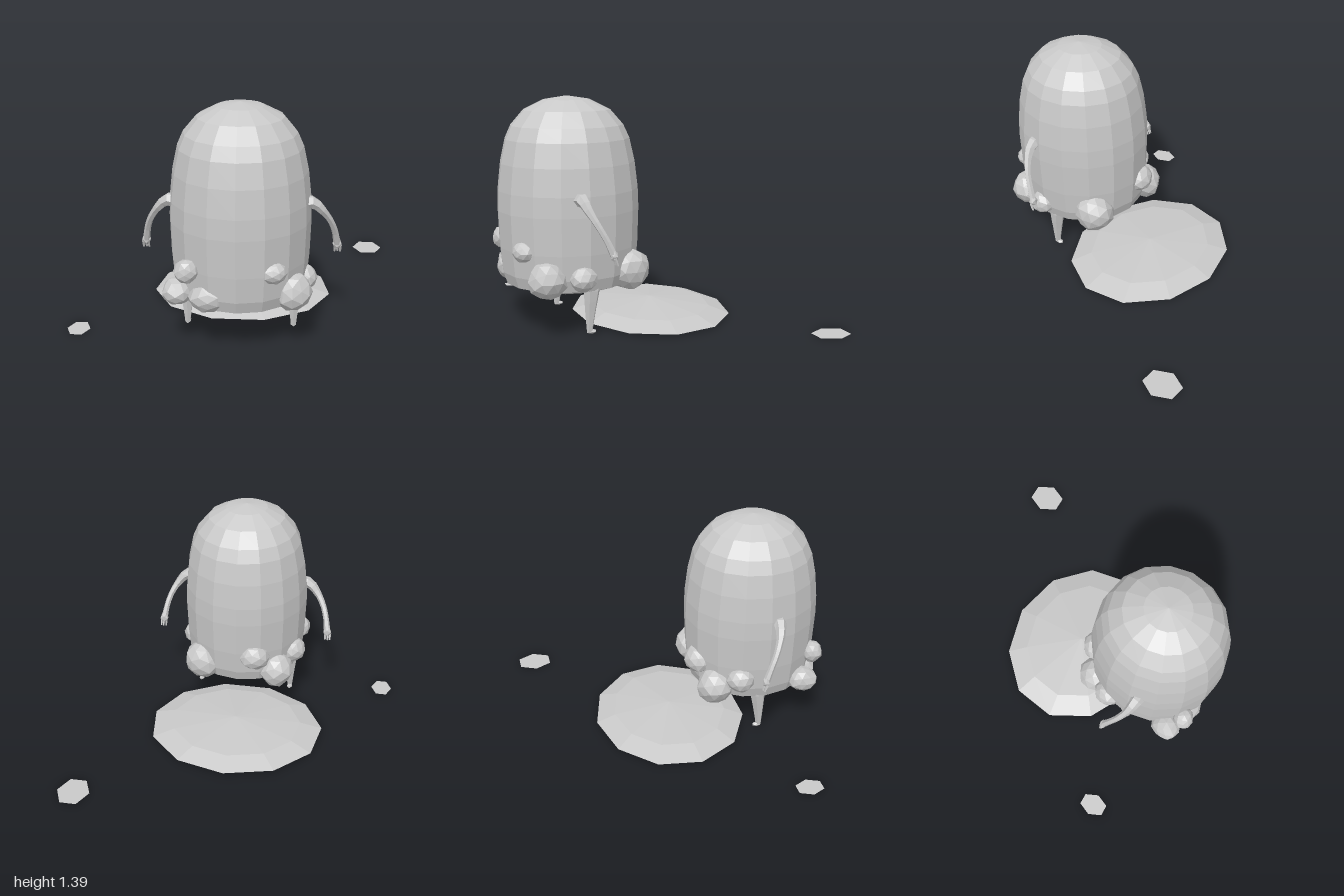
import * as THREE from 'three';
import { mergeVertices } from 'three/addons/utils/BufferGeometryUtils.js';

const CX = 0.04, CZ = 0.51; // body axis

export function createModel() {
  const group = new THREE.Group();
  const grey = new THREE.MeshStandardMaterial({ color: 0xc8c8c8, flatShading: true });
  grey.name = 'stone grey';
  const greySheet = grey.clone();
  greySheet.side = THREE.DoubleSide;

  const add = (name, geometry, parent = group, material = grey) => {
    const mesh = new THREE.Mesh(geometry, material);
    mesh.name = name;
    parent.add(mesh);
    return mesh;
  };
  const lathe = (profile, sides, start = 0) =>
    new THREE.LatheGeometry(profile.map(([r, y]) => new THREE.Vector2(r, y)), sides, start);

  // Domed body
  const body = add('body', lathe([
    [0, 0.24], [0.27, 0.245], [0.37, 0.28], [0.392, 0.35], [0.405, 0.5], [0.412, 0.72],
    [0.408, 0.84], [0.39, 1.0], [0.36, 1.14], [0.325, 1.22], [0.25, 1.31], [0.135, 1.37], [0, 1.392],
  ], 16));
  body.position.set(CX, 0, CZ);
  body.scale.z = 1.045;

  // Faceted lumps round the lower edge: x, y, z, then radii
  let seed = 7;
  const random = () => (seed = (seed * 16807) % 2147483647) / 2147483647;
  const lump = (x, y, z, rx, ry, rz) => {
    let geo = new THREE.IcosahedronGeometry(1, 1);
    geo.deleteAttribute('uv');
    geo.deleteAttribute('normal');
    geo = mergeVertices(geo, 1e-3);
    const p = geo.attributes.position;
    for (let i = 0; i < p.count; i++) {
      const k = 0.93 + 0.12 * random();
      p.setXYZ(i, p.getX(i) * k, p.getY(i) * k, p.getZ(i) * k);
    }
    geo.scale(rx, ry, rz);
    geo.computeVertexNormals();
    add('lump', geo).position.set(x, y, z);
  };
  [
    [-0.24, 0.505, 0.85, 0.07, 0.07, 0.065],
    [0.24, 0.51, 0.85, 0.08, 0.065, 0.065],
    [-0.115, 0.345, 0.83, 0.113, 0.09, 0.095],
    [0.35, 0.355, 0.74, 0.11, 0.115, 0.115],
    [0.41, 0.36, 0.545, 0.082, 0.078, 0.085],
    [0.29, 0.36, 0.21, 0.125, 0.13, 0.13],
    [-0.07, 0.47, 0.14, 0.105, 0.09, 0.095],
    [-0.21, 0.335, 0.21, 0.115, 0.12, 0.12],
    [-0.31, 0.42, 0.345, 0.08, 0.085, 0.09],
    [-0.3, 0.35, 0.77, 0.09, 0.08, 0.095],
  ].forEach((l) => lump(...l));

  // Tapered limb along a path; radii are spread evenly over its length
  const limb = (points, radii, steps, sides) => {
    const curve = new THREE.CatmullRomCurve3(points.map((p) => new THREE.Vector3(...p)));
    const geo = new THREE.TubeGeometry(curve, steps, 1, sides);
    const p = geo.attributes.position, v = new THREE.Vector3();
    for (let i = 0; i < p.count; i++) {
      const t = Math.floor(i / (sides + 1)) / steps;
      const f = t * (radii.length - 1), a = Math.min(Math.floor(f), radii.length - 2);
      const r = THREE.MathUtils.lerp(radii[a], radii[a + 1], f - a);
      const c = curve.getPointAt(t);
      v.fromBufferAttribute(p, i).sub(c).multiplyScalar(r).add(c);
      p.setXYZ(i, v.x, v.y, v.z);
    }
    geo.computeVertexNormals();
    return geo;
  };

  // Arms and legs, built on +x of the body axis and repeated on the other side
  for (const side of [1, -1]) {
    const word = side > 0 ? 'left' : 'right';
    const arm = new THREE.Group();
    arm.name = word + 'Arm';
    arm.position.x = CX;
    group.add(arm);
    const at = ([x, y, z]) => [x * side, y, z];

    add('armTube', limb([
      [0.37, 0.82, 0.565], [0.415, 0.825, 0.56], [0.47, 0.775, 0.545],
      [0.525, 0.69, 0.505], [0.552, 0.61, 0.465], [0.566, 0.53, 0.432],
    ].map(at), [0.045, 0.032, 0.022, 0.019, 0.019, 0.022], 10, 6), arm);
    const palm = add('palm', new THREE.IcosahedronGeometry(1, 0), arm);
    palm.scale.set(0.03, 0.036, 0.024);
    palm.position.set(0.567 * side, 0.527, 0.43);
    [-1, 0, 1].forEach((i) => {
      const finger = add('finger', new THREE.CylinderGeometry(0.009, 0.006, 0.045, 5), arm);
      finger.position.set((0.571 + i * 0.016) * side, 0.494, 0.418 + Math.abs(i) * 0.006);
      finger.rotation.x = 0.35;
    });

    const leg = new THREE.Group();
    leg.name = word + 'Leg';
    leg.position.x = CX + 0.32 * side;
    group.add(leg);
    add('legTube', limb([
      [-0.01 * side, 0.4, 0.47], [0, 0.27, 0.478], [0, 0.14, 0.487], [0, 0.02, 0.493],
    ], [0.055, 0.05, 0.033, 0.017], 6, 6), leg);
    const foot = add('foot', new THREE.IcosahedronGeometry(1, 0), leg);
    foot.scale.set(0.02, 0.014, 0.034);
    foot.position.set(0, 0.022, 0.481);
  }

  // Low mound on the ground
  const mound = add('mound', lathe([
    [0, 0.012], [0.575, 0.012], [0.43, 0.055], [0, 0.092],
  ], 11, Math.PI));
  mound.position.set(0.02, 0, -0.04);
  mound.scale.z = 0.855;

  // Flat six-sided ground plates
  for (const [x, z, rx, rz] of [[0.895, -0.835, 0.103, 0.123], [-0.93, 0.59, 0.07, 0.092]]) {
    const plate = add('groundPlate', new THREE.CircleGeometry(1, 6).rotateX(-Math.PI / 2), group, greySheet);
    plate.scale.set(rx, 1, rz);
    plate.position.set(x, 0, z);
  }
  return group;
}
